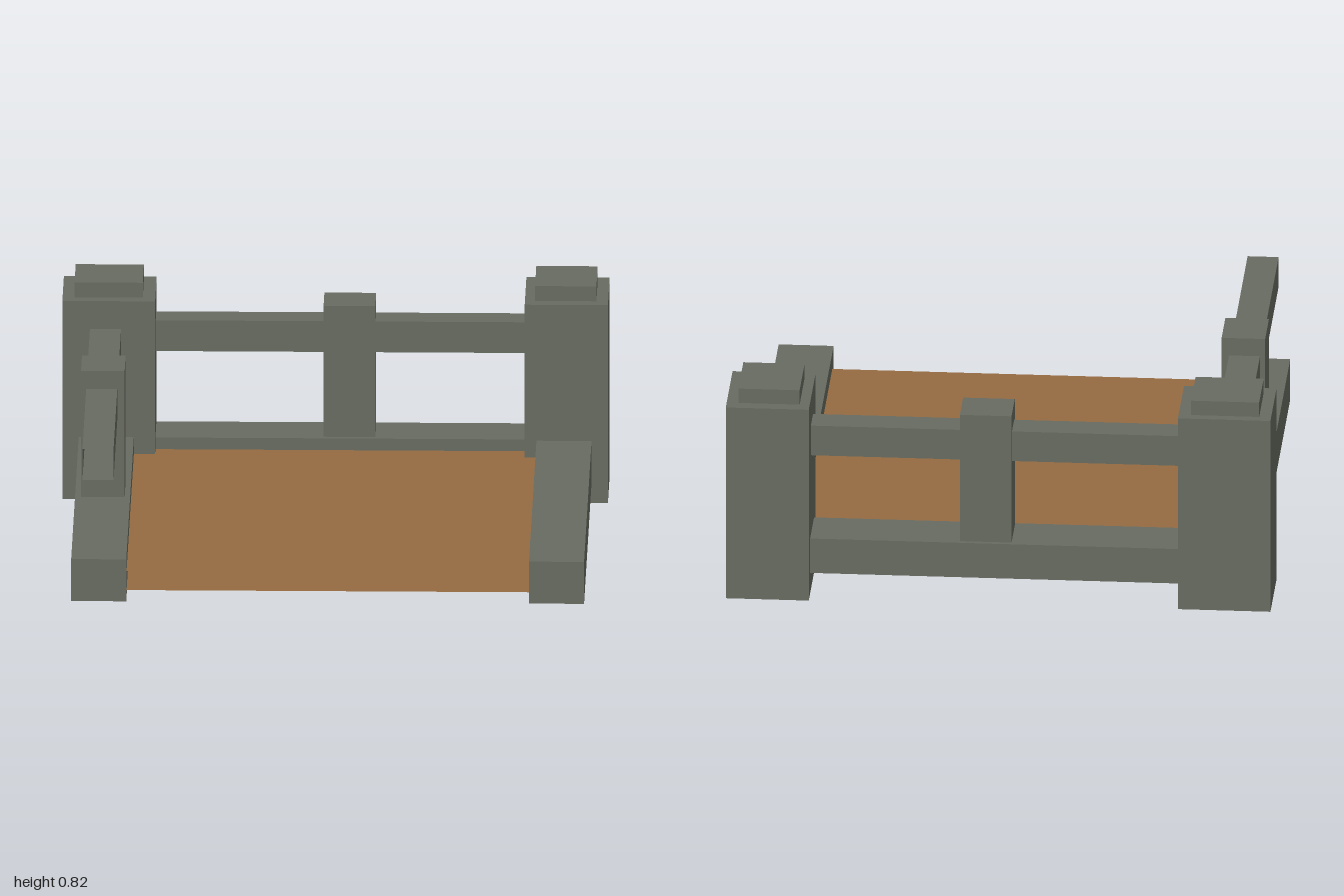
import * as THREE from 'three';

export function createModel() {
  const model = new THREE.Group();
  model.name = 'fencedPlatform';

  const timber = new THREE.MeshStandardMaterial({ color: 0x686b61, side: THREE.DoubleSide });
  timber.name = 'greyTimber';
  const boards = new THREE.MeshStandardMaterial({ color: 0x956b42, side: THREE.DoubleSide });
  boards.name = 'brownBoards';

  function add(name, geometry, material, x, y, z) {
    const mesh = new THREE.Mesh(geometry, material);
    mesh.name = name;
    mesh.position.set(x, y, z);
    model.add(mesh);
    return mesh;
  }

  // Solid block given by its extents on each axis
  function block(name, [x0, x1], [y0, y1], [z0, z1]) {
    return add(name, new THREE.BoxGeometry(x1 - x0, y1 - y0, z1 - z0), timber,
      (x0 + x1) / 2, (y0 + y1) / 2, (z0 + z1) / 2);
  }

  // Corner posts with stepped caps
  block('rightCornerPost', [-1, -0.66], [0, 0.76], [-0.893, -0.588]);
  block('rightPostCap', [-0.956, -0.706], [0.76, 0.817], [-0.858, -0.634]);
  block('leftCornerPost', [0.695, 1], [0, 0.76], [-0.913, -0.573]);
  block('leftPostCap', [0.732, 0.957], [0.76, 0.817], [-0.867, -0.62]);

  // Base beams
  block('rightBaseBeam', [-0.94, -0.738], [0.077, 0.238], [-0.75, 0.91]);
  block('leftBaseBeam', [0.738, 0.94], [0.077, 0.238], [-0.75, 0.91]);
  block('backBaseBeam', [-0.8, 0.8], [0.082, 0.219], [-0.846, -0.648]);

  // Short posts halfway along the railings
  block('backRailPost', [-0.044, 0.146], [0.2, 0.722], [-0.83, -0.668]);
  block('rightRailPost', [-0.918, -0.758], [0.2, 0.722], [-0.042, 0.146]);

  // Hollow handrails: boxes without their two end faces
  function handrail(name, width, height, length, x, y, z) {
    const geometry = new THREE.BoxGeometry(width, height, length);
    geometry.setIndex(Array.from(geometry.index.array.slice(0, 24)));
    geometry.clearGroups();
    return add(name, geometry, timber, x, y, z);
  }
  handrail('rightHandrail', 0.114, 0.118, 1.58, -0.842, 0.594, 0.097);
  handrail('backHandrail', 0.11, 0.118, 1.5, 0, 0.594, -0.754).rotation.y = Math.PI / 2;

  // Upper and lower floor sheets, open at the front
  for (const [name, y] of [['floorTop', 0.174], ['floorUnderside', 0.1]]) {
    const sheet = new THREE.PlaneGeometry(1.476, 1.59).rotateX(-Math.PI / 2);
    add(name, sheet, boards, 0, y, 0.05);
  }

  return model;
}
